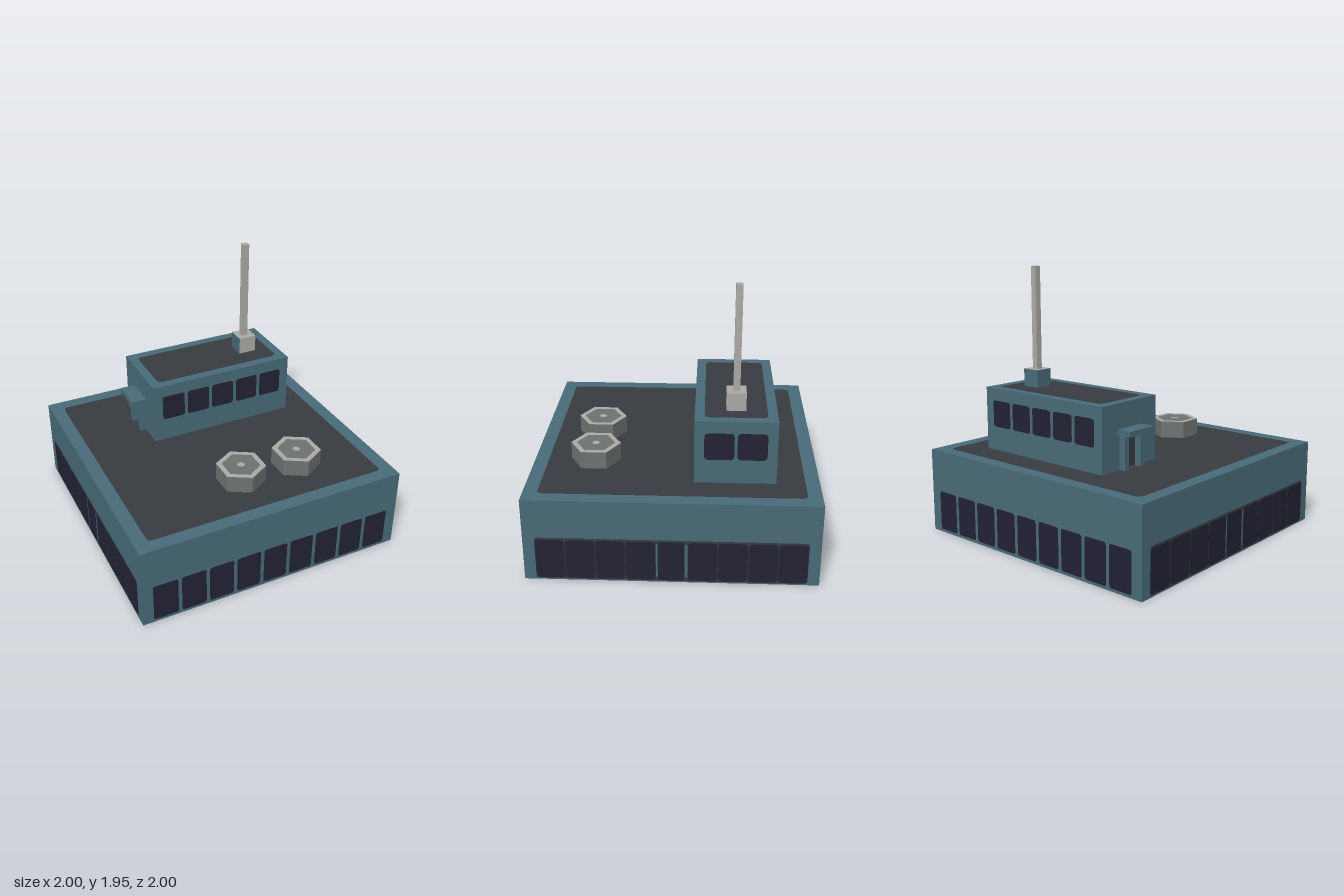
import * as THREE from 'three';

const paint = (name, color, side = THREE.DoubleSide) => {
  const m = new THREE.MeshStandardMaterial({ color, side });
  m.name = name;
  return m;
};
const teal = paint('teal wall', 0x476a77);
const glass = paint('dark glass', 0x222234);
const roofGrey = paint('roof grey', 0x373b41);
const lightGrey = paint('light grey', 0xaaa9a6);
const midGrey = paint('vent grey', 0x6d7270);

// Rounded rectangle [x0, y0, x1, y1] traced into a Shape or Path
function rect([x0, y0, x1, y1], r = 0, Type = THREE.Shape) {
  const p = new Type();
  if (!r) {
    p.moveTo(x0, y0); p.lineTo(x1, y0); p.lineTo(x1, y1); p.lineTo(x0, y1); p.lineTo(x0, y0);
    return p;
  }
  p.moveTo(x0 + r, y0);
  p.lineTo(x1 - r, y0); p.quadraticCurveTo(x1, y0, x1, y0 + r);
  p.lineTo(x1, y1 - r); p.quadraticCurveTo(x1, y1, x1 - r, y1);
  p.lineTo(x0 + r, y1); p.quadraticCurveTo(x0, y1, x0, y1 - r);
  p.lineTo(x0, y0 + r); p.quadraticCurveTo(x0, y0, x0 + r, y0);
  return p;
}

function addMesh(parent, name, geometry, material, x = 0, y = 0, z = 0) {
  const mesh = new THREE.Mesh(geometry, material);
  mesh.name = name;
  mesh.position.set(x, y, z);
  parent.add(mesh);
  return mesh;
}

const box = (parent, name, mat, [x0, y0, z0, x1, y1, z1]) =>
  addMesh(parent, name, new THREE.BoxGeometry(x1 - x0, y1 - y0, z1 - z0), mat,
    (x0 + x1) / 2, (y0 + y1) / 2, (z0 + z1) / 2);

// Flat sheet with openings, each filled by its own inset sheet
function sheet(name, b, material, insets = [], r = 0) {
  const group = new THREE.Group();
  group.name = name;
  const shape = rect(b, r);
  for (const i of insets) {
    shape.holes.push(rect(i.b, i.r, THREE.Path));
    group.add(sheet(i.name, i.b, i.material, i.insets, i.r));
  }
  addMesh(group, name + 'Sheet', new THREE.ShapeGeometry(shape, 4), material);
  return group;
}

// Four walls and a bordered roof around a centre
function shell(name, x, z, w, d, y0, y1, walls, border) {
  const group = new THREE.Group();
  group.name = name;
  group.position.set(x, 0, z);
  ['front', 'left', 'back', 'right'].forEach((side, i) => {
    const a = i * Math.PI / 2;
    const half = (i % 2 ? d : w) / 2, out = (i % 2 ? w : d) / 2;
    const wall = sheet(side + 'Wall', [-half, y0, half, y1], teal, walls[i]);
    wall.rotation.y = a;
    wall.position.set(Math.sin(a) * out, 0, Math.cos(a) * out);
    group.add(wall);
  });
  const roof = sheet('roofBorder', [-w / 2, -d / 2, w / 2, d / 2], teal, [{
    name: 'roofDeck', material: roofGrey, r: 0.04,
    b: [-w / 2 + border, -d / 2 + border, w / 2 - border, d / 2 - border],
  }]);
  roof.rotation.x = -Math.PI / 2;
  roof.position.y = y1;
  group.add(roof);
  return group;
}

// Evenly spaced windows between x0 and x1
function windowRow(n, x0, x1, gap, y0, y1, r) {
  const w = (x1 - x0 - gap * (n - 1)) / n;
  return Array.from({ length: n }, (_, i) => {
    const x = x0 + i * (w + gap);
    return { name: 'window', b: [x, y0, x + w, y1], r, material: glass };
  });
}

export function createModel() {
  const model = new THREE.Group();
  model.name = 'building';
  const roofY = 0.615, cabinY = 1.075;

  // Main hall, open underneath
  const hallRow = windowRow(9, -0.92, 0.92, 0.026, 0.02, 0.31, 0.02);
  const strip = [{
    name: 'windowStrip', b: [-0.92, 0.008, 0.92, 0.33], r: 0.025, material: roofGrey,
    insets: [
      ...windowRow(4, -0.918, -0.106, 0.004, 0.015, 0.315, 0.03),
      ...windowRow(1, -0.089, 0.089, 0, 0.015, 0.315, 0.02),
      ...windowRow(4, 0.112, 0.918, 0.004, 0.015, 0.315, 0.03),
      { name: 'mullion', b: [-0.104, 0.04, -0.091, 0.3], r: 0, material: teal },
      { name: 'mullion', b: [0.091, 0.04, 0.11, 0.3], r: 0, material: teal },
    ],
  }];
  model.add(shell('hall', 0, 0, 2, 2, 0, roofY, [hallRow, strip, hallRow, strip], 0.098));

  // Rooftop cabin
  const cabinRow = windowRow(5, -0.495, 0.495, 0.026, 0.79, 0.985, 0.022);
  const sideRow = windowRow(2, -0.213, 0.213, 0.02, 0.79, 0.988, 0.03);
  const door = [{ name: 'door', b: [-0.09, roofY + 0.005, 0.09, 0.85], r: 0, material: roofGrey }];
  model.add(shell('cabin', 0.148, -0.422, 1.13, 0.56, roofY, cabinY,
    [cabinRow, sideRow, cabinRow, door], 0.067));

  // Porch around the cabin door
  const porch = new THREE.Group();
  porch.name = 'porch';
  box(porch, 'porchRoof', teal, [-0.53, 0.86, -0.545, -0.417, 0.898, -0.305]);
  for (const z of [-0.525, -0.365])
    box(porch, 'porchPost', teal, [-0.465, roofY, z, -0.417, 0.86, z + 0.04]);
  model.add(porch);

  // Hexagonal roof vents
  for (const x of [-0.055, 0.393]) {
    const vent = new THREE.Group();
    vent.name = 'roofVent';
    vent.position.set(x, roofY, 0.563);
    addMesh(vent, 'ventBody', new THREE.CylinderGeometry(0.177, 0.177, 0.125, 6).toNonIndexed(),
      midGrey, 0, 0.0625, 0).geometry.computeVertexNormals();
    const rim = addMesh(vent, 'ventRim', new THREE.RingGeometry(0.137, 0.177, 6, 1, Math.PI / 6),
      lightGrey, 0, 0.127, 0);
    const hub = addMesh(vent, 'ventHub', new THREE.CircleGeometry(0.027, 12), lightGrey, 0, 0.127, 0);
    rim.rotation.x = hub.rotation.x = -Math.PI / 2;
    model.add(vent);
  }

  // Mast on its plinth; the plinth's back and right faces match the walls
  const mast = new THREE.Group();
  mast.name = 'mast';
  box(mast, 'mastPlinth', [lightGrey, teal, lightGrey, lightGrey, lightGrey, teal],
    [0.4, cabinY, -0.49, 0.537, 1.203, -0.355]);
  box(mast, 'mastPole', lightGrey, [0.444, 1.203, -0.447, 0.489, 1.947, -0.4]);
  model.add(mast);

  return model;
}
